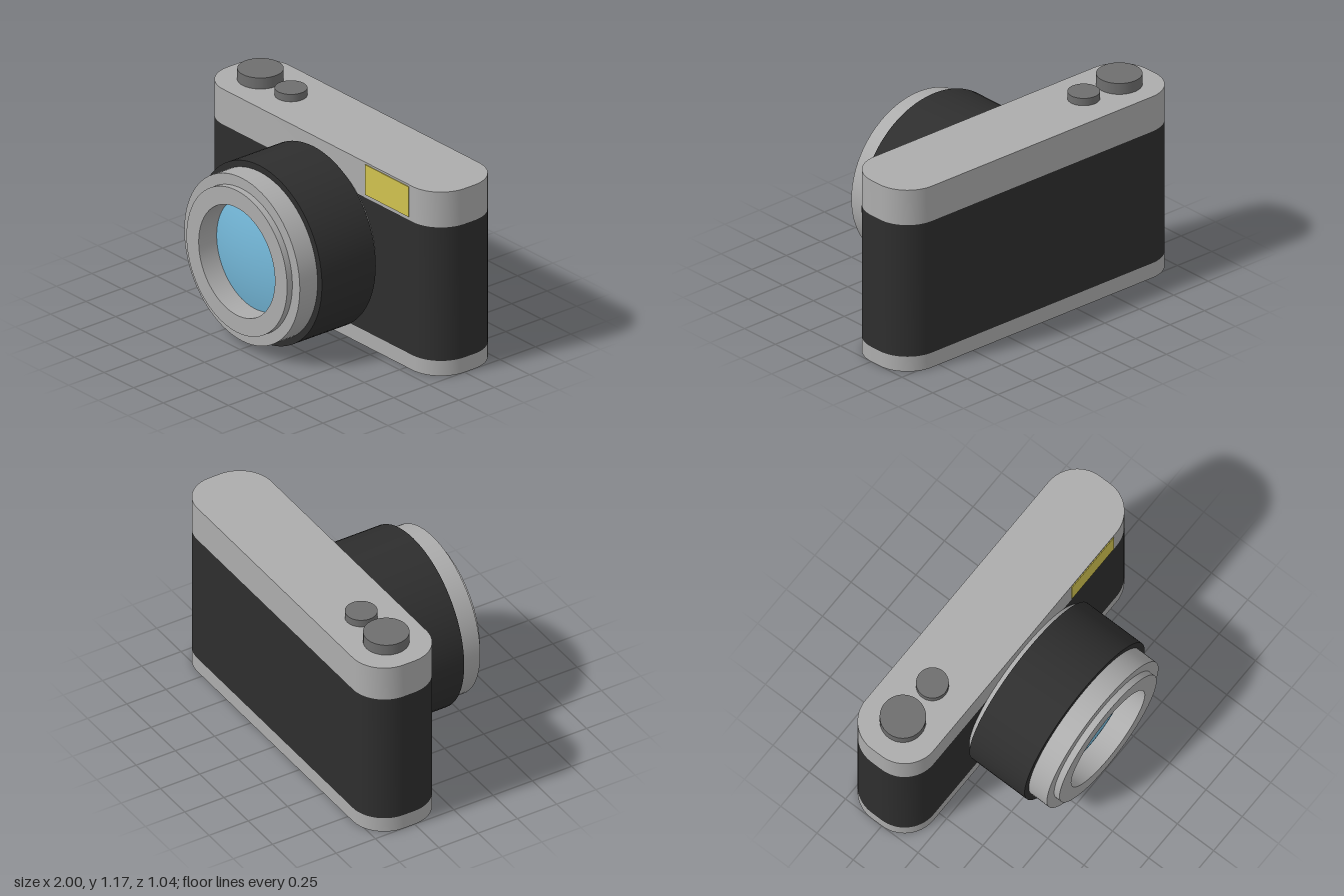
import * as THREE from 'three';
import { toCreasedNormals } from 'three/addons/utils/BufferGeometryUtils.js';

const material = (name, color) => {
  const m = new THREE.MeshStandardMaterial({ color });
  m.name = name;
  return m;
};

export function createModel() {
  const silver = material('silver', 0xacacac);
  const black = material('black leather', 0x2e2e2e);
  const grey = material('dark grey', 0x6e6e6e);
  const yellow = material('yellow window', 0xd0c24f);
  const blue = material('blue glass', 0x75b9da);

  const camera = new THREE.Group();
  camera.name = 'camera';
  const add = (name, geometry, mat, x, y, z, parent = camera) => {
    const mesh = new THREE.Mesh(geometry, mat);
    mesh.name = name;
    mesh.position.set(x, y, z);
    parent.add(mesh);
    return mesh;
  };

  // Body: one rounded outline, extruded upward in three bands
  const w = 1, d = 0.235, r = 0.2;
  const outline = new THREE.Shape();
  outline.absarc(w - r, d - r, r, 0, Math.PI / 2);
  outline.absarc(r - w, d - r, r, Math.PI / 2, Math.PI);
  outline.absarc(r - w, r - d, r, Math.PI, Math.PI * 1.5);
  outline.absarc(w - r, r - d, r, Math.PI * 1.5, Math.PI * 2);
  const band = (name, y0, y1, mat) => {
    const g = new THREE.ExtrudeGeometry(outline, { depth: y1 - y0, bevelEnabled: false, curveSegments: 12 });
    g.rotateX(-Math.PI / 2);
    add(name, toCreasedNormals(g, 0.6), mat, 0, y0, -0.285);
  };
  band('bottomPlate', 0, 0.09, silver);
  band('leatherBody', 0.09, 0.89, black);
  band('topPlate', 0.89, 1.102, silver);

  // Shutter dial and button
  const knob = (name, x, radius, top) => {
    const h = top - 1.1;
    add(name, new THREE.CylinderGeometry(radius, radius, h, 40), grey, x, 1.1 + h / 2, -0.287);
  };
  knob('largeDial', -0.768, 0.126, 1.168);
  knob('shutterButton', -0.51, 0.089, 1.146);

  // Viewfinder window
  add('viewfinderWindow', new THREE.BoxGeometry(0.365, 0.18, 0.008), yellow, 0.588, 1, -0.049);

  // Lens: turned profiles of [radius, z], facing forward
  const lens = new THREE.Group();
  lens.name = 'lens';
  lens.position.y = 0.535;
  camera.add(lens);
  const turned = (name, profile, mat) => {
    const g = new THREE.LatheGeometry(profile.map(([a, b]) => new THREE.Vector2(a, b)), 72);
    g.rotateX(Math.PI / 2);
    add(name, toCreasedNormals(g, 0.6), mat, 0, 0, 0, lens);
  };
  turned('lensBarrel', [
    [0.488, -0.06], [0.488, 0.485], [0.425, 0.485], [0.425, 0.522], [0.322, 0.522], [0.322, 0.38],
  ], silver);
  turned('focusRing', [[0.48, -0.02], [0.525, -0.02], [0.525, 0.36], [0.48, 0.36]], black);

  // Gently domed front glass
  const dome = [];
  for (let i = 0; i <= 10; i++) {
    const t = i / 10;
    dome.push([0.322 * (1 - t), 0.395 + 0.045 * (1 - (1 - t) ** 2)]);
  }
  turned('glass', dome, blue);

  return camera;
}
